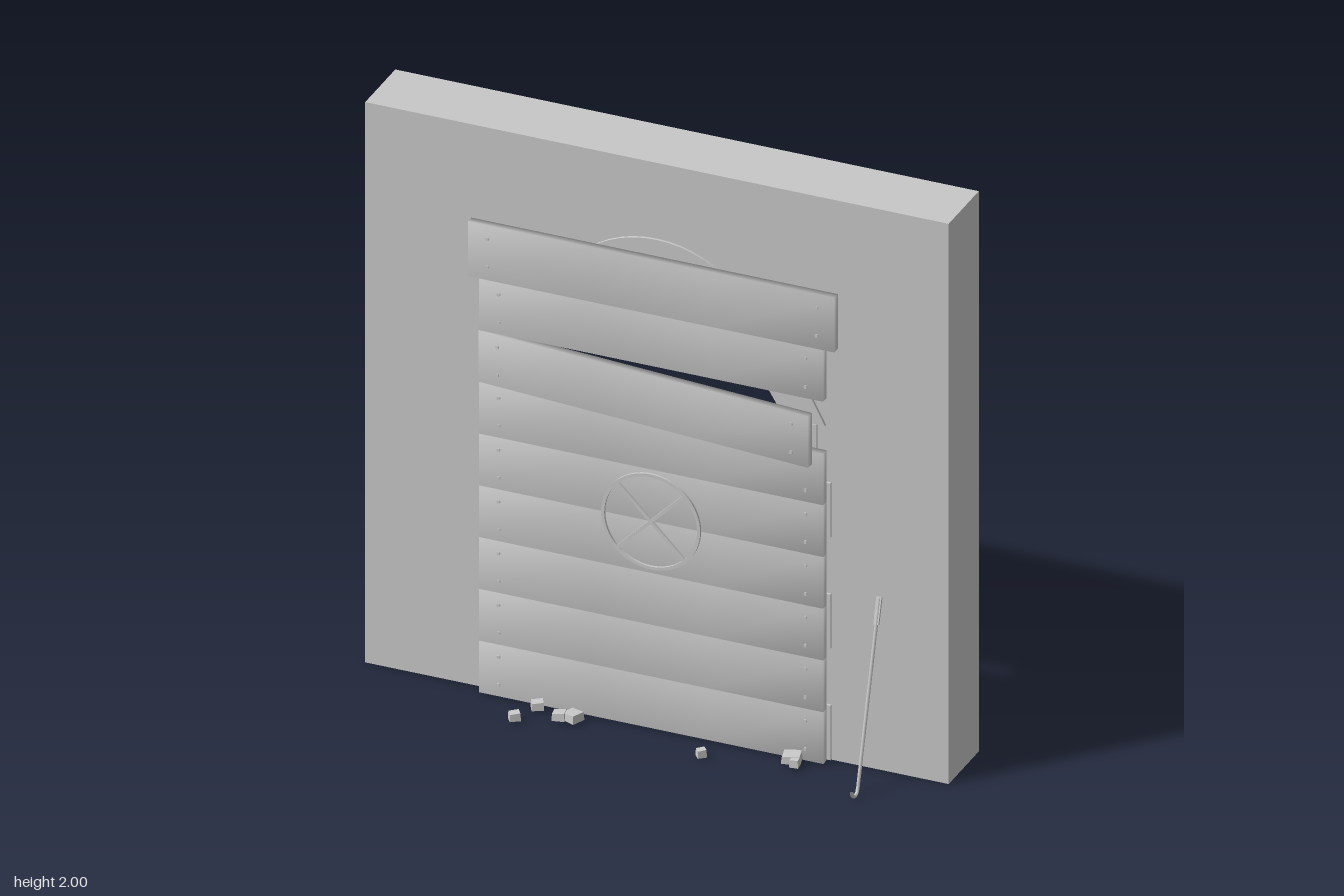
import * as THREE from 'three';
import { mergeVertices, toCreasedNormals } from 'three/addons/utils/BufferGeometryUtils.js';

const FRONT = 0.007, BACK = -0.228, SPRING = 1.19, TRIM = 0.009;
// Double-sided because the wall is a shell that is open underneath
const stone = new THREE.MeshStandardMaterial({ color: 0xc8c8c8, side: THREE.DoubleSide });
stone.name = 'plain grey';

function add(parent, name, geometry, x = 0, y = 0, z = 0) {
  const mesh = new THREE.Mesh(geometry, stone);
  mesh.name = name;
  mesh.position.set(x, y, z);
  parent.add(mesh);
  return mesh;
}

function group(parent, name) {
  const g = new THREE.Group();
  g.name = name;
  parent.add(g);
  return g;
}

// Parabolic arch, from the -x springing over to the +x springing
function archPoints(halfWidth, rise, n = 28) {
  const pts = [];
  for (let i = 0; i <= n; i++) {
    const u = 2 * i / n - 1;
    pts.push(new THREE.Vector2(halfWidth * u, SPRING + rise * (1 - Math.abs(u) ** 2.12)));
  }
  return pts;
}

// Wall-thickness band that follows an outline
function band(points) {
  const pos = [], index = [];
  points.forEach((p, i) => {
    pos.push(p.x, p.y, FRONT, p.x, p.y, BACK);
    if (i) {
      const a = 2 * i - 2;
      index.push(a, a + 1, a + 3, a, a + 3, a + 2);
    }
  });
  const g = new THREE.BufferGeometry();
  g.setAttribute('position', new THREE.Float32BufferAttribute(pos, 3));
  g.setIndex(index);
  return toCreasedNormals(g, 0.35);
}

function buildWall(root) {
  const wall = group(root, 'wall');
  const opening = [new THREE.Vector2(-0.438, 0), ...archPoints(0.438, 0.385), new THREE.Vector2(0.438, 0)];
  const outer = [[1, 0], [1, 2], [-1, 2], [-1, 0]].map(([x, y]) => new THREE.Vector2(x, y));
  const face = new THREE.ShapeGeometry(new THREE.Shape([...outer, ...opening]));
  add(wall, 'wallFront', face, 0, 0, FRONT);
  add(wall, 'wallBack', face, 0, 0, BACK).rotation.y = Math.PI;
  add(wall, 'wallSidesAndTop', band(outer));
  add(wall, 'doorwayReveal', band(opening));
}

// Arch band and alternating corner blocks, the same on both faces
function buildTrim(root, name, z) {
  const trim = group(root, name);
  const ring = new THREE.Shape([...archPoints(0.58, 0.54), ...archPoints(0.438, 0.385).reverse()]);
  const arch = new THREE.ExtrudeGeometry(ring, { depth: TRIM, bevelEnabled: false });
  add(trim, 'archBand', toCreasedNormals(arch, 0.35), 0, 0, z);
  const h = SPRING / 6;
  for (const side of [-1, 1]) {
    for (let i = 0; i < 6; i++) {
      const w = (i % 2 ? 0.55 : 0.598) - 0.438;
      add(trim, 'cornerBlock', new THREE.BoxGeometry(w, h - 0.004, TRIM),
        side * (0.438 + w / 2), h * (i + 0.5), z + TRIM / 2);
    }
  }
}

// Plank shaded smoothly round its edges; its origin is the left-hand end
function plank(parent, x0, x1, y0, y1) {
  const w = x1 - x0;
  const box = new THREE.BoxGeometry(w, y1 - y0, 0.028, 3, 1, 1);
  box.deleteAttribute('normal');
  box.deleteAttribute('uv');
  const geo = mergeVertices(box);
  geo.computeVertexNormals();
  const board = group(parent, 'board');
  board.position.set(x0, (y0 + y1) / 2, 0.035);
  add(board, 'plank', geo, w / 2, 0, 0);
  const nail = new THREE.CylinderGeometry(0.006, 0.006, 0.008, 8).rotateX(Math.PI / 2);
  for (const x of [0.068, w - 0.06])
    for (const y of [-0.05, 0.05]) add(board, 'nail', nail, x, y, 0.015);
  return board;
}

function buildBoards(root) {
  const boards = group(root, 'boards');
  const pitch = 0.1847;
  for (let i = 0; i < 8; i++) {
    const board = plank(boards, -0.592, 0.588, i * pitch + 0.003, (i + 1) * pitch + 0.001);
    if (i === 6) board.rotation.y = -0.09; // board pulled loose at one end
  }
  plank(boards, -0.63, 0.626, 1.48, 1.675);
}

// Ring with a diagonal cross, laid on the boards
function buildSign(root) {
  const sign = group(root, 'crossedRing');
  sign.position.set(0, 0.743, 0.048);
  const shape = new THREE.Shape().absarc(0, 0, 0.17, 0, Math.PI * 2);
  shape.holes.push(new THREE.Path().absarc(0, 0, 0.159, 0, Math.PI * 2, true));
  add(sign, 'ring', new THREE.ExtrudeGeometry(shape, { depth: 0.009, bevelEnabled: false, curveSegments: 32 }));
  for (const s of [-1, 1])
    add(sign, 'crossBar', new THREE.BoxGeometry(0.322, 0.011, 0.009), 0, 0, 0.0045).rotation.z = s * Math.PI / 4;
}

// Pry bar leaning on the wall
function buildPryBar(root) {
  const bar = group(root, 'pryBar');
  bar.position.set(0.768, 0, 0.003);
  const v = (y, z) => new THREE.Vector3(0, y, z);
  add(bar, 'shaft', new THREE.TubeGeometry(new THREE.LineCurve3(v(0.62, 0.018), v(0.03, 0.184)), 1, 0.006, 8));
  const hook = new THREE.CatmullRomCurve3(
    [v(0.03, 0.184), v(0.012, 0.194), v(0.008, 0.21), v(0.015, 0.224), v(0.03, 0.234)]);
  add(bar, 'hook', new THREE.TubeGeometry(hook, 16, 0.006, 8));
  const tip = add(bar, 'flatTip', new THREE.BoxGeometry(0.018, 0.09, 0.008), 0, 0.581, 0.029);
  tip.rotation.x = -Math.atan2(0.166, 0.59);
}

// Broken stones on the ground: x, z, size, turn
function buildRubble(root) {
  const rubble = group(root, 'rubble');
  const stones = [
    [-0.415, 0.175, 0.036, 0.6], [-0.378, 0.08, 0.04, 0.5], [-0.288, 0.115, 0.042, 0.2],
    [-0.247, 0.102, 0.055, -0.4], [0.22, 0.163, 0.03, 0.7], [0.492, 0.074, 0.062, 0.25],
    [0.515, 0.105, 0.03, 0.1],
  ];
  for (const [x, z, s, turn] of stones) {
    const geo = new THREE.BoxGeometry(s, 0.026, s * 0.9);
    const p = geo.attributes.position;
    for (let i = 0; i < p.count; i++)
      if (p.getY(i) > 0) p.setXYZ(i, p.getX(i) * 0.92, p.getY(i) + 0.08 * p.getX(i), p.getZ(i) * 0.92);
    geo.computeVertexNormals();
    add(rubble, 'stone', geo, x, 0.02, z).rotation.y = turn;
  }
}

export function createModel() {
  const root = new THREE.Group();
  root.name = 'boardedDoorway';
  buildWall(root);
  buildTrim(root, 'frontTrim', FRONT);
  buildTrim(root, 'backTrim', BACK - TRIM);
  buildBoards(root);
  buildSign(root);
  buildPryBar(root);
  buildRubble(root);
  return root;
}
